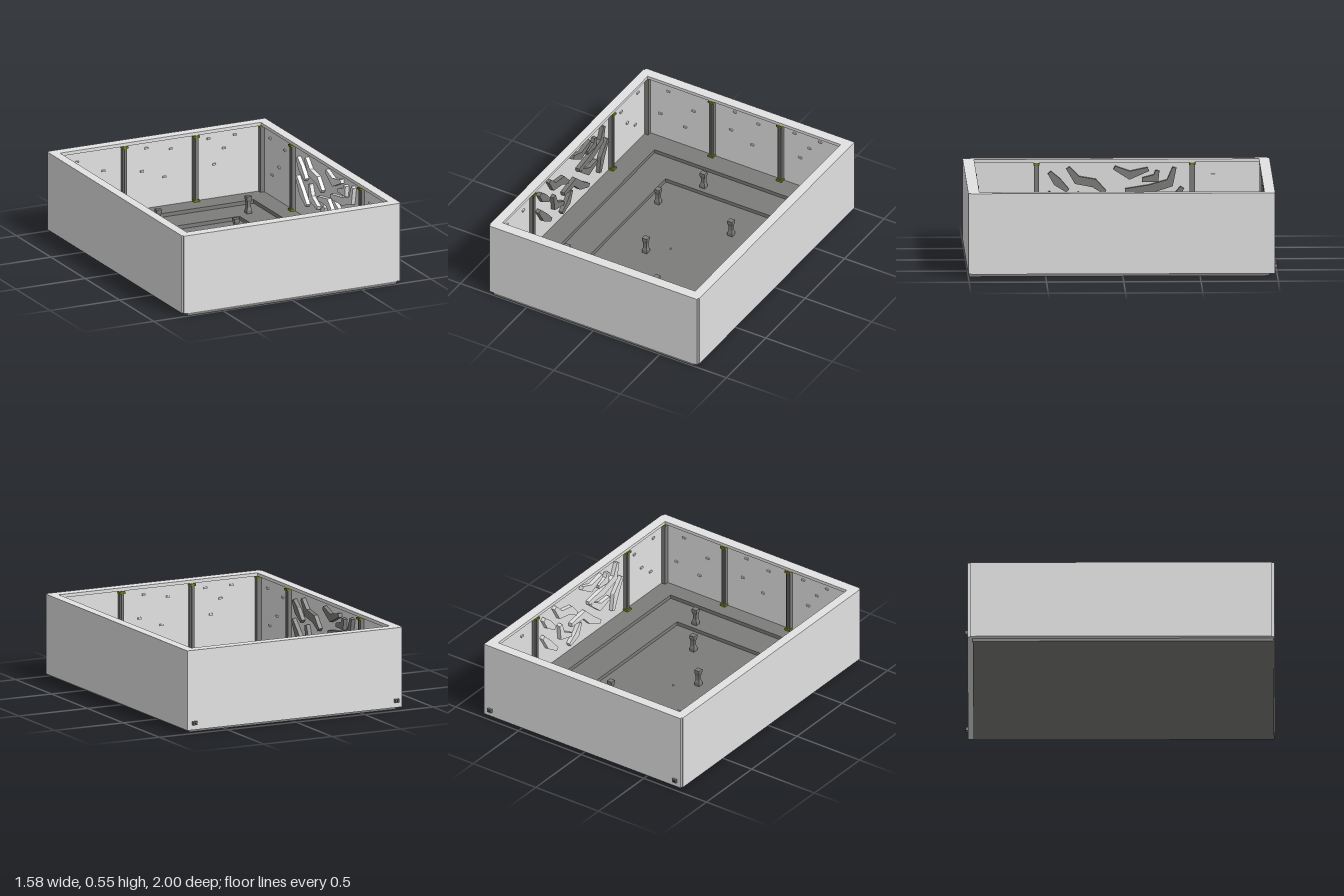
import * as THREE from 'three';

const mat = (name, color) =>
  Object.assign(new THREE.MeshStandardMaterial({ color }), { name });

export function createModel() {
  const wallGrey = mat('wall grey', 0xe3e3e3);
  const floorGrey = mat('floor grey', 0x7c7c7a);
  const olive = mat('olive clamp', 0x80800f);
  const black = mat('socket black', 0x222222);

  const root = new THREE.Group();
  root.name = 'openTray';
  const add = (name, geo, material, x = 0, y = 0, z = 0, parent = root) => {
    const m = new THREE.Mesh(geo, material);
    m.name = name;
    m.position.set(x, y, z);
    parent.add(m);
    return m;
  };
  const box = (name, w, h, d, material, x, y, z, parent) =>
    add(name, new THREE.BoxGeometry(w, h, d), material, x, y, z, parent);

  // Plan outlines as [x, z] corners
  const rect = (x0, x1, z0, z1) => [[x0, z1], [x1, z1], [x1, z0], [x0, z0]];
  const toShape = (pts) => pts.map(([x, z]) => new THREE.Vector2(x, -z));
  // Frame between two heights
  const frame = (name, outer, hole, y0, y1, material) => {
    const s = new THREE.Shape(toShape(outer));
    s.holes.push(new THREE.Path(toShape(hole)));
    const g = new THREE.ExtrudeGeometry(s, { depth: y1 - y0, bevelEnabled: false });
    g.rotateX(-Math.PI / 2);
    add(name, g, material, 0, y0, 0);
  };

  // Outer walls and overhanging rim; three corners are notched where the slabs meet
  const nx = 0.009, nz = 0.016;
  const hull = [
    [-0.79 + nx, 1], [0.787 - nx, 1], [0.787 - nx, 1 - nz], [0.787, 1 - nz], [0.787, -0.985],
    [-0.79 + nx, -0.985], [-0.79 + nx, -0.985 + nz], [-0.79, -0.985 + nz], [-0.79, 1 - nz], [-0.79 + nx, 1 - nz],
  ];
  const inside = rect(-0.755, 0.75, -0.95, 0.955);
  frame('outerWalls', hull, inside, 0.02, 0.525, wallGrey);
  frame('rim', hull, rect(-0.727, 0.722, -0.916, 0.927), 0.525, 0.547, wallGrey);

  // Base plate and floor stepping down to the middle
  const low = 0.02, mid = 0.045, high = 0.07;
  box('basePlate', 1.51, low, 1.945, floorGrey, 0, low / 2, 0.0225);
  const step1 = rect(-0.61, 0.615, -0.805, 0.84);
  const step2 = rect(-0.405, 0.412, -0.6, 0.63);
  frame('upperFloor', inside, step1, low, high, floorGrey);
  frame('middleFloor', step1, step2, low, mid, floorGrey);
  box('centreMark', 0.008, 0.01, 0.008, wallGrey, -0.005, low + 0.005, 0.01);

  // Free-standing posts, waisted in the middle
  const half = 0.0185 * Math.SQRT2;
  const postProfile = [[0, 0], [half, 0], [half, 0.02], [half * 0.7, 0.04], [half * 0.7, 0.075], [half, 0.095], [half, 0.115], [0, 0.115]]
    .map(([r, y]) => new THREE.Vector2(r, y));
  const postGeo = new THREE.LatheGeometry(postProfile, 4, Math.PI / 4).toNonIndexed();
  postGeo.computeVertexNormals();
  const posts = [[-0.15, -0.65, mid], [0.495, -0.64, mid], [-0.33, -0.38, low], [0.25, -0.325, low],
    [-0.13, 0.115, low], [-0.51, 0.48, mid], [0.145, 0.44, low], [0.3, 0.68, mid]];
  for (const [x, z, y] of posts) add('floorPost', postGeo, floorGrey, x, y, z);

  // Wall pillars with clamps at top and bottom; local +z points into the tray
  const pillar = (x, z, turn) => {
    const g = new THREE.Group();
    g.name = 'wallPillar';
    g.position.set(x, 0, z);
    g.rotation.y = turn;
    root.add(g);
    box('pillarShaft', 0.034, 0.455, 0.024, floorGrey, 0, 0.2975, 0.012, g);
    box('pillarRib', 0.014, 0.455, 0.008, floorGrey, 0, 0.2975, 0.027, g);
    box('topClamp', 0.04, 0.014, 0.036, olive, 0, 0.514, 0.018, g);
    box('bottomClamp', 0.04, 0.014, 0.036, olive, 0, 0.079, 0.018, g);
  };
  for (const x of [-0.255, 0.26]) {
    pillar(x, -0.95, 0);
    pillar(x, 0.955, Math.PI);
  }
  for (const z of [-0.485, 0.522]) {
    pillar(-0.755, z, Math.PI / 2);
    pillar(0.75, z, -Math.PI / 2);
  }
  for (const x of [-0.74, 0.735]) for (const z of [-0.935, 0.94]) {
    box('cornerPillar', 0.03, 0.455, 0.03, floorGrey, x, 0.2975, z);
    box('cornerClamp', 0.034, 0.012, 0.034, olive, x, 0.515, z);
  }

  // Small studs on the inner walls
  const endStuds = [[-0.59, 0.457], [-0.4, 0.37], [-0.65, 0.256], [-0.465, 0.217], [-0.09, 0.48], [0.086, 0.45],
    [-0.12, 0.326], [0.04, 0.266], [0.36, 0.48], [0.55, 0.48], [0.47, 0.4], [0.4, 0.3]];
  const sideStuds = [[0.62, 0.44], [0.83, 0.46], [0.7, 0.3], [0.8, 0.22]];
  for (const [a, y] of endStuds) {
    box('wallStud', 0.024, 0.012, 0.01, wallGrey, a, y, -0.946);
    box('wallStud', 0.024, 0.012, 0.01, wallGrey, -a, y, 0.951);
  }
  for (const [a, y] of sideStuds) for (const s of [-1, 1]) {
    box('wallStud', 0.01, 0.012, 0.024, wallGrey, -0.751, y, a * s);
    box('wallStud', 0.01, 0.012, 0.024, wallGrey, 0.746, y, a * s);
  }

  // Jagged strands in relief: each is a centre line (along, up) that tapers to its ends
  const strands = [
    [[0.39, 0.49], [0.36, 0.39], [0.23, 0.35], [0.07, 0.34]],
    [[0.44, 0.36], [0.37, 0.26], [0.34, 0.15]],
    [[-0.3, 0.49], [-0.24, 0.41], [-0.13, 0.39], [-0.06, 0.33]],
    [[0.0, 0.49], [0.1, 0.44], [0.22, 0.48]],
    [[-0.12, 0.27], [0.02, 0.28], [0.1, 0.2], [0.2, 0.14]],
    [[-0.43, 0.33], [-0.36, 0.24], [-0.28, 0.17]],
    [[-0.42, 0.46], [-0.37, 0.4], [-0.3, 0.34]],
    [[-0.14, 0.13], [-0.06, 0.17], [-0.02, 0.24]],
    [[0.1, 0.32], [0.2, 0.25], [0.3, 0.27]],
    [[-0.24, 0.33], [-0.22, 0.24], [-0.12, 0.2]],
    [[0.28, 0.47], [0.27, 0.42], [0.18, 0.41]],
  ];
  const strandGeo = (pts) => {
    const left = [], right = [];
    pts.forEach(([a, b], i) => {
      const p = pts[Math.max(i - 1, 0)], q = pts[Math.min(i + 1, pts.length - 1)];
      const len = Math.hypot(q[0] - p[0], q[1] - p[1]);
      const w = i === 0 || i === pts.length - 1 ? 0.013 : 0.028;
      const dx = -(q[1] - p[1]) / len * w, dy = (q[0] - p[0]) / len * w;
      left.push(new THREE.Vector2(a + dx, b + dy));
      right.unshift(new THREE.Vector2(a - dx, b - dy));
    });
    return new THREE.ExtrudeGeometry(new THREE.Shape([...left, ...right]), { depth: 0.028, bevelEnabled: false });
  };
  const strandGeos = strands.map(strandGeo);
  for (const [x, turn, material] of [[-0.756, Math.PI / 2, floorGrey], [0.751, -Math.PI / 2, wallGrey]]) {
    const relief = new THREE.Group();
    relief.name = 'wallRelief';
    relief.position.set(x, 0, 0.02);
    relief.rotation.y = turn;
    root.add(relief);
    for (const g of strandGeos) add('reliefStrand', g, material, 0, 0, 0, relief);
  }

  // Sockets low on the back wall
  for (const x of [-0.74, 0.735]) {
    box('socketBody', 0.032, 0.024, 0.015, floorGrey, x, 0.065, -0.9925);
    box('socketHole', 0.016, 0.012, 0.004, black, x, 0.065, -0.9985);
  }
  return root;
}
